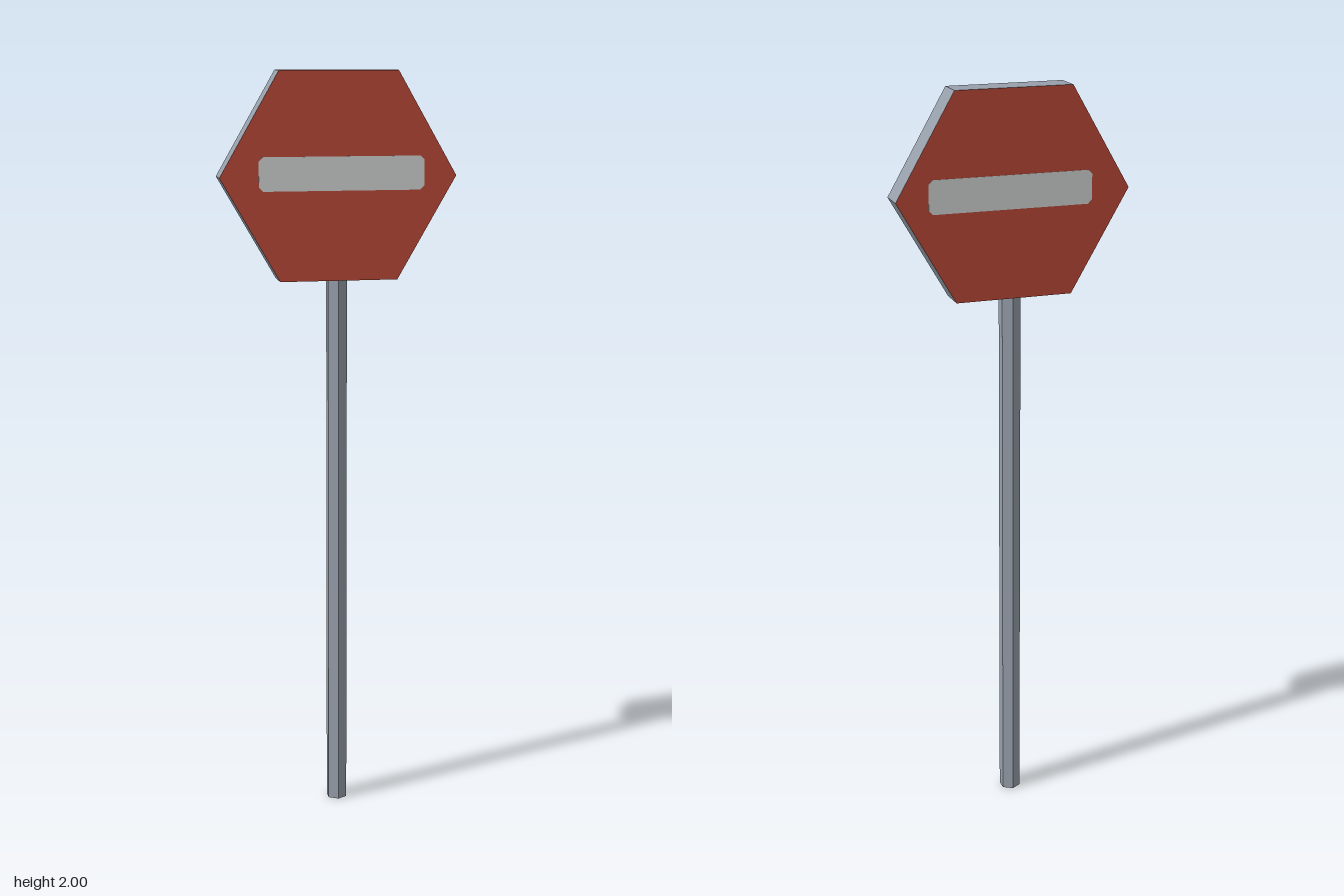
import * as THREE from 'three';

export function createModel() {
  const mat = (name, color, extra = {}) => {
    const m = new THREE.MeshStandardMaterial({ color, flatShading: true, ...extra });
    m.name = name;
    return m;
  };
  const steel = mat('steel grey', 0x98a0ac, { side: THREE.DoubleSide });
  const red = mat('sign red', 0xb84836);
  const pale = mat('pale grey', 0xd0d2d2);

  const group = new THREE.Group();
  group.name = 'roadSign';
  const add = (name, geometry, material, x, y, z) => {
    const mesh = new THREE.Mesh(geometry, material);
    mesh.name = name;
    mesh.position.set(x, y, z);
    group.add(mesh);
    return mesh;
  };

  const centreY = 1.73, radius = 0.3115, depth = 0.077;

  // Hollow six-sided pole, one edge facing forward
  const poleHeight = centreY - radius * Math.sqrt(3) / 2;
  add('pole', new THREE.CylinderGeometry(0.029, 0.029, poleHeight, 6, 1, true), steel, 0, poleHeight / 2, 0);

  // Hexagonal board: grey rim, red front and back
  const board = new THREE.CylinderGeometry(radius, radius, depth, 6, 1, false, Math.PI / 2);
  board.rotateX(Math.PI / 2);
  add('board', board, [steel, red, red], 0, centreY, 0);

  // Pale bar with clipped corners, on both faces
  const w = 0.218, h = 0.044, c = 0.011;
  const outline = new THREE.Shape([
    [-w + c, -h], [w - c, -h], [w, -h + c], [w, h - c],
    [w - c, h], [-w + c, h], [-w, h - c], [-w, -h + c],
  ].map(([x, y]) => new THREE.Vector2(x, y)));
  const bar = new THREE.ExtrudeGeometry(outline, { depth: 0.001, bevelEnabled: false });
  add('frontBar', bar, pale, 0.008, 1.738, depth / 2);
  add('backBar', bar, pale, 0.008, 1.738, -depth / 2).rotation.y = Math.PI;

  return group;
}
